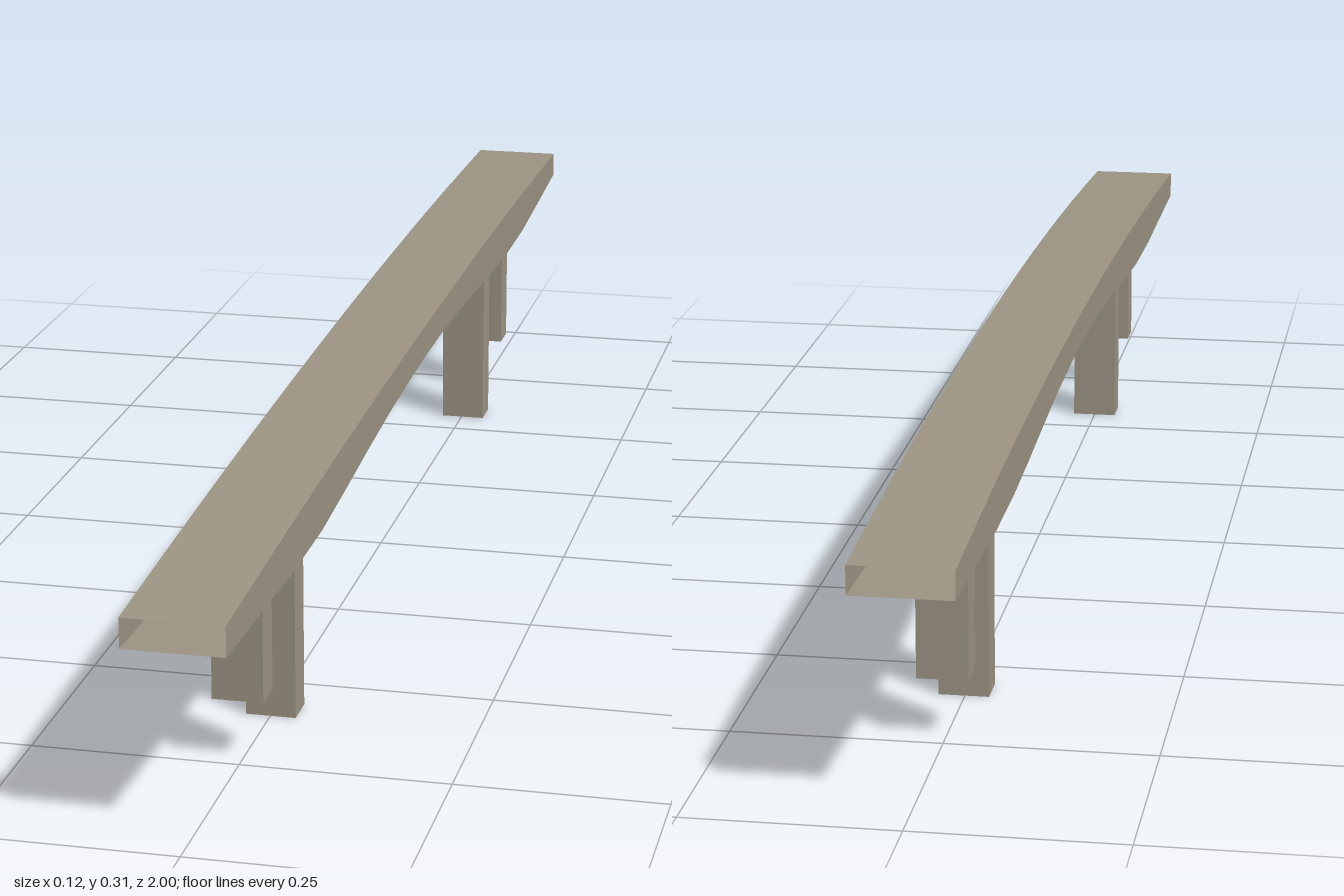
import * as THREE from 'three';

const concrete = new THREE.MeshStandardMaterial({ color: 0x9e9585, flatShading: true, side: THREE.DoubleSide });
concrete.name = 'concrete';

// Deck stations along the span: z, underside height
const STATIONS = [
  [1, 0.237], [0.85, 0.233], [0.72, 0.229], [0.58, 0.231], [0.46, 0.241], [0.34, 0.252], [0.22, 0.261],
  [0.1, 0.267], [0, 0.27], [-0.1, 0.27], [-0.22, 0.267], [-0.34, 0.261], [-0.46, 0.254],
  [-0.58, 0.249], [-0.72, 0.25], [-0.86, 0.258], [-1, 0.266],
];
const HALF_WIDTH = 0.059;
const deckTop = (z) => 0.312 - 0.0135 * z - 0.0255 * z * z;
// The span bends very slightly sideways
const deckCentre = (z) => 0.0025 - 0.0015 * z - 0.005 * z * z;

// Hollow box girder, open at both ends
function deckGeometry() {
  const positions = [];
  const index = [];
  for (const [z, bottom] of STATIONS) {
    const x = deckCentre(z);
    const top = deckTop(z);
    positions.push(
      x - HALF_WIDTH, bottom, z,
      x + HALF_WIDTH, bottom, z,
      x + HALF_WIDTH, top, z,
      x - HALF_WIDTH, top, z,
    );
  }
  for (let s = 0; s < STATIONS.length - 1; s++) {
    for (let k = 0; k < 4; k++) {
      const a = s * 4 + k;
      const b = s * 4 + (k + 1) % 4;
      index.push(a, a + 4, b, b, a + 4, b + 4);
    }
  }
  const geometry = new THREE.BufferGeometry();
  geometry.setAttribute('position', new THREE.Float32BufferAttribute(positions, 3));
  geometry.setIndex(index);
  const flat = geometry.toNonIndexed();
  flat.computeVertexNormals();
  return flat;
}

// Rectangular pier between two heights
function pier(name, x, z, bottom, top) {
  const mesh = new THREE.Mesh(new THREE.BoxGeometry(0.061, top - bottom, 0.043), concrete);
  mesh.name = name;
  mesh.position.set(x, (bottom + top) / 2, z);
  return mesh;
}

export function createModel() {
  const bridge = new THREE.Group();
  bridge.name = 'bridge';

  const deck = new THREE.Mesh(deckGeometry(), concrete);
  deck.name = 'deck';
  bridge.add(deck);

  bridge.add(
    pier('frontOuterPier', -0.001, 0.728, 0.079, 0.23),
    pier('frontInnerPier', 0.0005, 0.583, 0, 0.231),
    pier('backInnerPier', 0.0015, -0.578, 0, 0.248),
    pier('backOuterPier', 0.001, -0.723, 0.076, 0.25),
  );
  return bridge;
}
